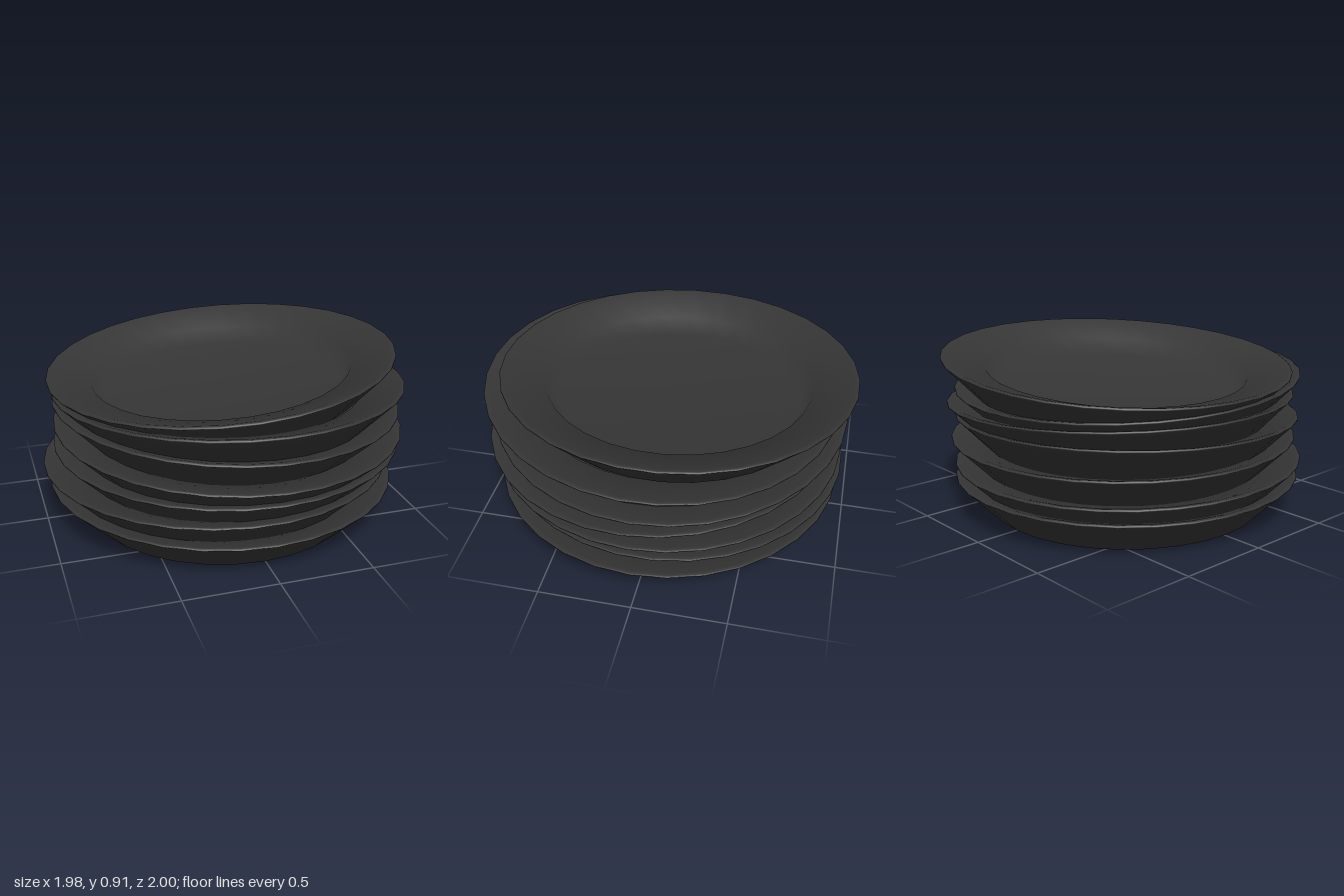
import * as THREE from 'three';

const SEGMENTS = 32;
const RIM_RADIUS = 0.96;

// One plate as a closed profile; y = 0 lies at the rim.
function plateGeometry() {
  const profile = [
    [0, -0.2], [0.7, -0.2], [0.77, -0.2],       // underside
    [0.948, -0.02], [0.96, -0.01],              // flared wall
    [0.96, -0.004], [0.953, 0], [0.935, -0.002], // rounded lip
    [0.72, -0.07], [0.66, -0.16], [0, -0.16],   // sloping flange, well wall and floor
  ].map(([r, y]) => new THREE.Vector2(r, y));
  return new THREE.LatheGeometry(profile, SEGMENTS);
}

// Rim centre [x, y, z], rise of the rim towards +x and +z, turn in half segments.
const PLATES = [
  { at: [-0.005, 0.2, 0.012], riseX: 0, riseZ: 0, turn: 0 },
  { at: [-0.035, 0.298, -0.005], riseX: -0.003, riseZ: 0.012, turn: 1 },
  { at: [0.025, 0.412, 0.012], riseX: 0, riseZ: 0, turn: 0 },
  { at: [0.027, 0.522, 0.042], riseX: -0.02, riseZ: -0.03, turn: 0 },
  { at: [0.03, 0.627, -0.005], riseX: -0.036, riseZ: -0.005, turn: 0 },
  { at: [0.027, 0.727, 0.045], riseX: 0, riseZ: 0.054, turn: 0 },
  { at: [0.01, 0.836, -0.045], riseX: 0.074, riseZ: 0, turn: 1 },
];

export function createModel() {
  const stack = new THREE.Group();
  stack.name = 'plateStack';
  const geometry = plateGeometry();
  const material = new THREE.MeshStandardMaterial({ color: 0x363636 });

  PLATES.forEach(({ at, riseX, riseZ, turn }, i) => {
    // The tilt sits on a holder so that turning the plate keeps its lean.
    const holder = new THREE.Group();
    holder.name = `plate${i + 1}`;
    holder.position.set(...at);
    holder.rotation.set(-Math.asin(riseZ / RIM_RADIUS), 0, Math.asin(riseX / RIM_RADIUS));
    const plate = new THREE.Mesh(geometry, material);
    plate.name = 'plateBody';
    plate.rotation.y = turn * Math.PI / SEGMENTS;
    holder.add(plate);
    stack.add(holder);
  });
  return stack;
}
